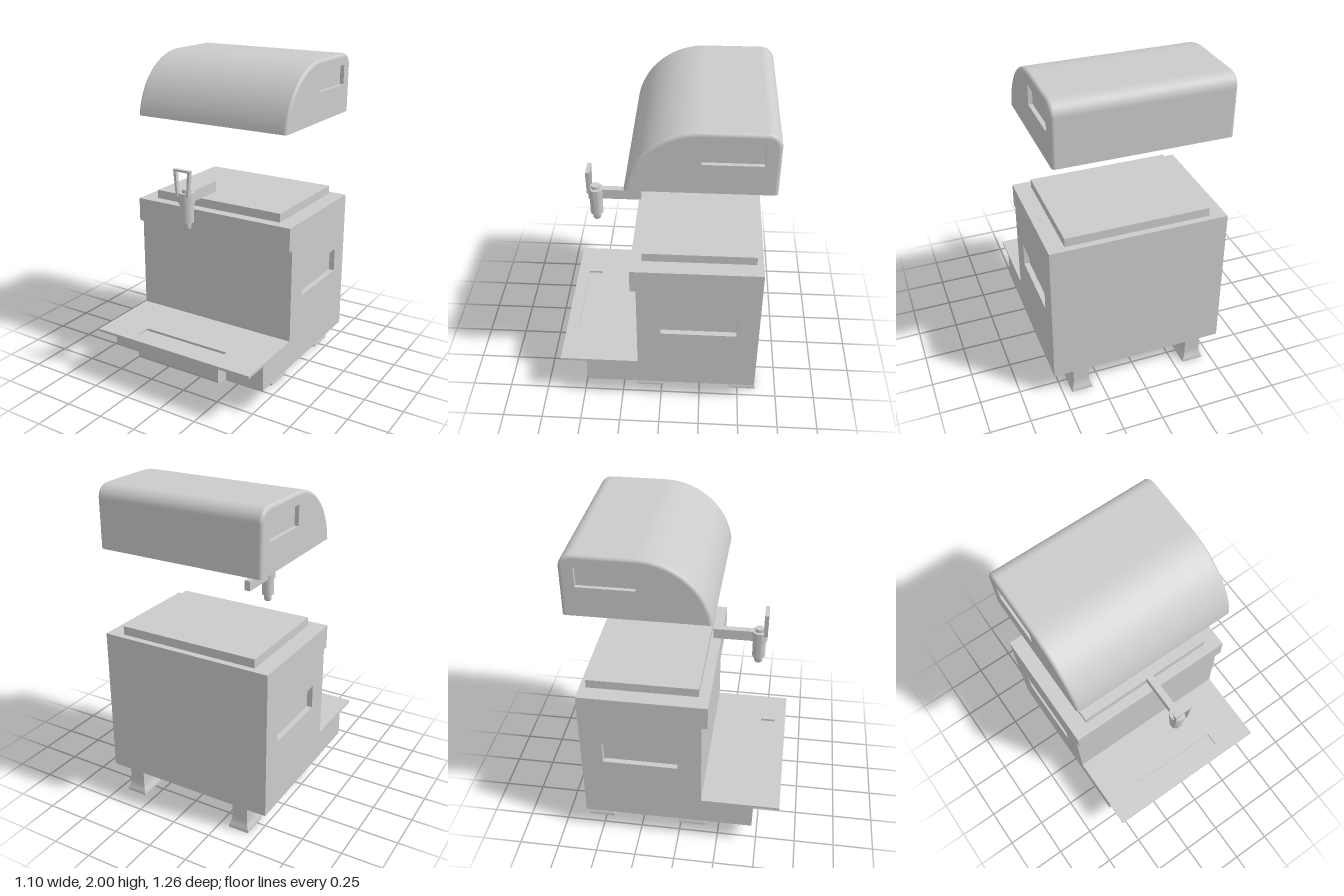
import * as THREE from 'three';
import { toCreasedNormals } from 'three/addons/utils/BufferGeometryUtils.js';

const grey = new THREE.MeshStandardMaterial({ color: 0xcccccc });

function add(parent, name, geometry, x = 0, y = 0, z = 0) {
  const mesh = new THREE.Mesh(geometry, grey);
  mesh.name = name;
  mesh.position.set(x, y, z);
  parent.add(mesh);
  return mesh;
}

const box = (w, h, d) => new THREE.BoxGeometry(w, h, d);
const shapeOf = pts => new THREE.Shape(pts.map(p => new THREE.Vector2(...p)));
const rectHole = (x0, y0, x1, y1) =>
  new THREE.Path([[x0, y0], [x0, y1], [x1, y1], [x1, y0]].map(p => new THREE.Vector2(...p)));

// Side profile drawn as (z, y), extruded symmetrically along x
function extrudeAcross(shape, width) {
  const g = new THREE.ExtrudeGeometry(shape, { depth: width, bevelEnabled: false, curveSegments: 10 });
  return toCreasedNormals(g.translate(0, 0, -width / 2).rotateY(-Math.PI / 2), 0.6);
}

// Inward-facing box, open on +z, with the opening in the z = 0 plane
function pocket(w, h, d) {
  const g = box(w, h, d).translate(0, 0, -d / 2).scale(-1, 1, 1);
  const index = Array.from(g.index.array);
  index.splice(24, 6);
  g.setIndex(index);
  g.clearGroups();
  g.computeVertexNormals();
  return g;
}

// Hood outline as (z, y) points, shrunk by an inset along its curved edge
const BASE = 1.63;
function hoodOutline(inset) {
  const pts = [];
  const r = 0.42 - inset, start = Math.asin(0.05 / r), n = 24, m = 10;
  for (let i = 0; i <= n; i++) {
    const a = start + (Math.PI / 2 - start) * i / n;
    pts.push([-0.22 + r * Math.cos(a), 1.58 + r * Math.sin(a)]);
  }
  for (let i = 0; i <= m; i++) {
    const a = Math.PI / 2 * (1 + i / m);
    pts.push([-0.55 + (0.08 - inset) * Math.cos(a), 1.92 + (0.08 - inset) * Math.sin(a)]);
  }
  pts.push([-0.63 + inset, BASE]);
  return pts;
}

function createHood() {
  const hood = new THREE.Group();
  hood.name = 'hood';
  const fillet = 0.02, steps = 5, sections = [];
  for (let i = 0; i <= steps; i++) {
    const a = Math.PI / 2 * i / steps;
    sections.push([0.5 + fillet * Math.cos(a), fillet * (1 - Math.sin(a))]);
  }
  const all = [...sections, ...sections.slice().reverse().map(([x, i]) => [-x, i])];

  // Outer skin lofted from right to left with filleted ends
  const pos = [], index = [];
  const count = hoodOutline(0).length;
  all.forEach(([x, inset], s) => {
    hoodOutline(inset).forEach(([z, y], i) => {
      pos.push(x, y, z);
      if (s && i) {
        const a = (s - 1) * count + i - 1, b = s * count + i - 1;
        index.push(a, a + 1, b, b, a + 1, b + 1);
      }
    });
  });
  const skin = new THREE.BufferGeometry();
  skin.setAttribute('position', new THREE.Float32BufferAttribute(pos, 3));
  skin.setIndex(index);
  skin.computeVertexNormals();
  add(hood, 'hoodShell', skin);

  // Flat ends with recessed grips
  const end = shapeOf(hoodOutline(fillet));
  end.holes.push(rectHole(-0.545, 1.81, -0.215, 1.93));
  const endGeometry = new THREE.ShapeGeometry(end).rotateY(-Math.PI / 2);
  const gripGeometry = pocket(0.33, 0.12, 0.025).rotateY(-Math.PI / 2);
  for (const side of [1, -1]) {
    add(hood, 'hoodEnd', endGeometry, -side * 0.52).scale.x = side;
    add(hood, 'hoodGrip', gripGeometry, -side * 0.52, 1.87, -0.38).scale.x = side;
  }

  // Bottom rim around a shallow recess
  const z0 = -0.63, z1 = 0.197;
  const rim = shapeOf([[-0.5, z0], [0.5, z0], [0.52, z0 + 0.02], [0.52, z1 - 0.02],
    [0.5, z1], [-0.5, z1], [-0.52, z1 - 0.02], [-0.52, z0 + 0.02]]);
  rim.holes.push(rectHole(-0.495, z0 + 0.025, 0.495, z1 - 0.025));
  add(hood, 'hoodRim', new THREE.ShapeGeometry(rim).rotateX(Math.PI / 2), 0, BASE);
  add(hood, 'hoodRecess', pocket(0.99, z1 - z0 - 0.05, 0.04).rotateX(Math.PI / 2), 0, BASE, (z0 + z1) / 2);
  return hood;
}

function createTap() {
  const tap = new THREE.Group();
  tap.name = 'tap';
  tap.position.z = 0.43;
  // Nozzle, barrel, collar and cap in one turned profile
  const profile = [[0, 1.05], [0.02, 1.05], [0.026, 1.06], [0.026, 1.095], [0.04, 1.095], [0.04, 1.21],
    [0.048, 1.21], [0.048, 1.277], [0.028, 1.277], [0.028, 1.297], [0, 1.297]];
  const turned = new THREE.LatheGeometry(profile.map(p => new THREE.Vector2(...p)), 32);
  add(tap, 'tapBody', toCreasedNormals(turned, 0.6));
  add(tap, 'tapArm', box(0.042, 0.066, 0.25), 0, 1.244, -0.157);
  // Open, slightly flared handle
  const frame = shapeOf([[-0.042, 1.26], [-0.03, 1.26], [-0.04, 1.408], [0.04, 1.408], [0.03, 1.26],
    [0.042, 1.26], [0.057, 1.42], [-0.057, 1.42]].reverse());
  add(tap, 'tapHandle', new THREE.ExtrudeGeometry(frame, { depth: 0.024, bevelEnabled: false }), 0, 0, 0.026);
  return tap;
}

// Square foot whose lower part flares outwards
function footGeometry() {
  const h = 0.155;
  const g = box(0.1, h, 0.14).toNonIndexed();
  const tall = new THREE.BoxGeometry(0.1, h, 0.14, 1, 16, 1).translate(0, h / 2, 0);
  g.dispose();
  const p = tall.attributes.position;
  for (let i = 0; i < p.count; i++) {
    const t = THREE.MathUtils.clamp((0.08 - p.getY(i)) / 0.065, 0, 1);
    const flare = 0.016 * t * t;
    p.setX(i, p.getX(i) + Math.sign(p.getX(i)) * flare);
    p.setZ(i, p.getZ(i) + Math.sign(p.getZ(i)) * flare);
  }
  return toCreasedNormals(tall, 0.6);
}

export function createModel() {
  const model = new THREE.Group();
  model.name = 'dispenser';

  // Cabinet with front lip, low base and recessed side grips
  const cabinet = shapeOf([[-0.6, 0.155], [0.47, 0.155], [0.47, 0.32], [0.145, 0.32],
    [0.145, 0.93], [0.18, 0.93], [0.18, 1.08], [-0.6, 1.08]]);
  cabinet.holes.push(rectHole(-0.465, 0.59, 0, 0.74));
  add(model, 'cabinet', extrudeAcross(cabinet, 1.1));
  add(model, 'gripBacks', box(1.03, 0.15, 0.465), 0, 0.665, -0.2325);
  add(model, 'topPanel', box(0.895, 0.055, 0.675), 0, 1.1075, -0.2225);

  // Serving ledge with a slot above the drip drawer
  const ledge = shapeOf([[-0.55, -0.145], [-0.55, -0.635], [0.55, -0.635], [0.55, -0.145]]);
  ledge.holes.push(rectHole(-0.295, -0.56, 0.295, -0.468));
  const ledgeGeometry = new THREE.ExtrudeGeometry(ledge, { depth: 0.016, bevelEnabled: false });
  add(model, 'ledge', ledgeGeometry.rotateX(-Math.PI / 2), 0, 0.319);
  const drawer = new THREE.Shape();
  drawer.moveTo(0.46, 0.156);
  drawer.lineTo(0.52, 0.156);
  drawer.absarc(0.52, 0.196, 0.04, -Math.PI / 2, 0, false);
  drawer.lineTo(0.56, 0.32);
  drawer.lineTo(0.46, 0.32);
  add(model, 'dripDrawer', extrudeAcross(drawer, 0.59));

  const foot = footGeometry();
  for (const x of [-0.378, 0.378]) for (const z of [0.075, -0.53]) add(model, 'foot', foot, x, 0, z);

  model.add(createTap(), createHood());
  return model;
}
